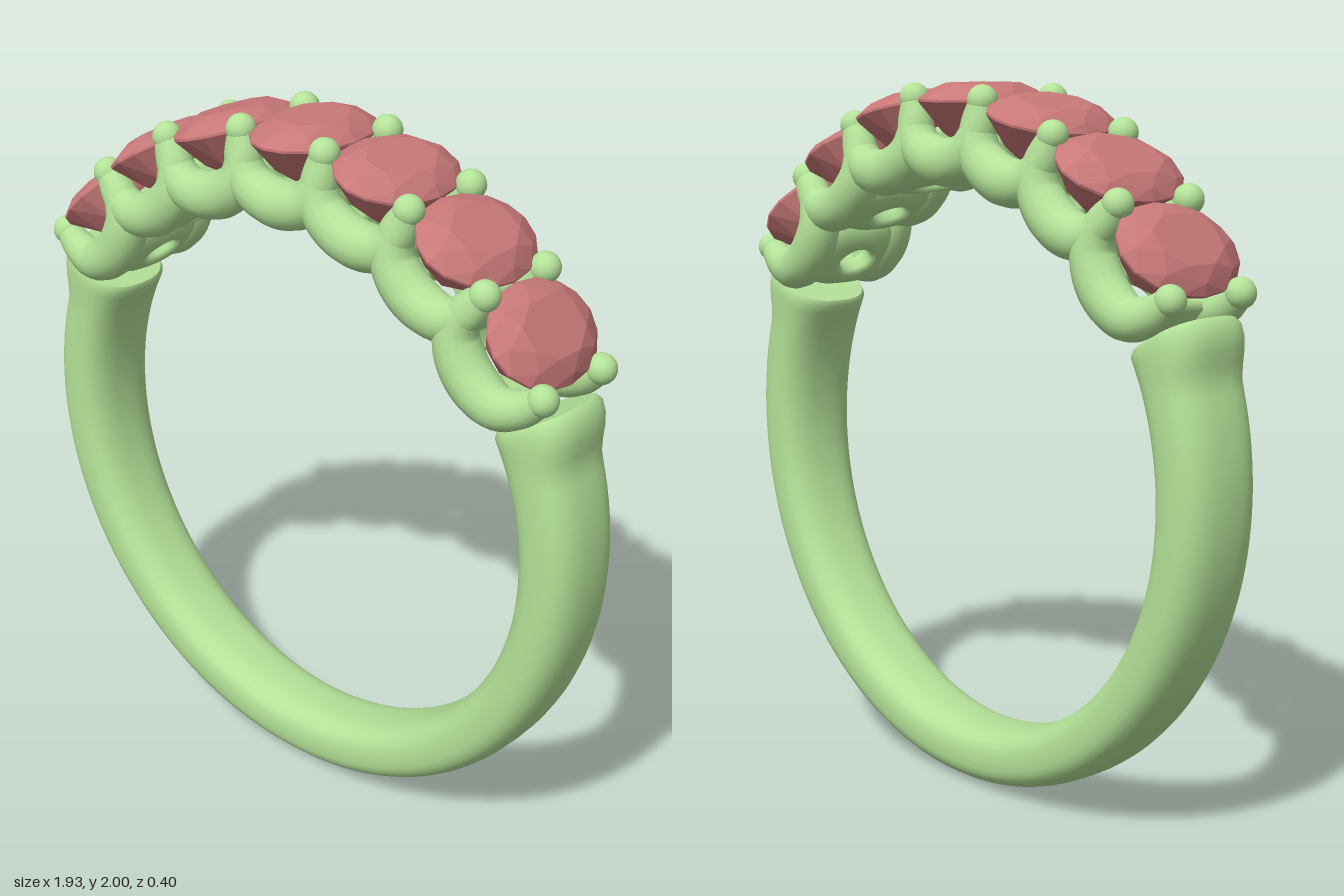
import * as THREE from 'three';
import { mergeVertices } from 'three/addons/utils/BufferGeometryUtils.js';
import { ConvexGeometry } from 'three/addons/geometries/ConvexGeometry.js';

const metal = new THREE.MeshStandardMaterial({ color: 0xb4e298 });
const gem = new THREE.MeshStandardMaterial({ color: 0xc87878, flatShading: true });
const RAD = Math.PI / 180;
const STEP = 16.6;      // degrees between stones
const COUNT = 7;
const CENTRE = 0.95;    // height of the finger hole centre

const spow = (v, e) => Math.sign(v) * Math.abs(v) ** e;

function mesh(name, geometry, material = metal) {
  const m = new THREE.Mesh(geometry, material);
  m.name = name;
  return m;
}

// Skin a list of closed cross-section loops; loopAround joins last ring to first
function skin(rings, loopAround) {
  const n = rings[0].length, pos = rings.flat(2), index = [];
  const count = loopAround ? rings.length : rings.length - 1;
  for (let i = 0; i < count; i++) {
    const i2 = (i + 1) % rings.length;
    for (let j = 0; j < n; j++) {
      const j2 = (j + 1) % n;
      const a = i * n + j, b = i2 * n + j, c = i2 * n + j2, d = i * n + j2;
      index.push(a, b, d, b, c, d);
    }
  }
  const g = new THREE.BufferGeometry();
  g.setAttribute('position', new THREE.Float32BufferAttribute(pos, 3));
  g.setIndex(index);
  g.computeVertexNormals();
  return g;
}

// Band: rounded section growing from the bottom to a flared lip at each end
function shankGeometry() {
  const END = 118.8, SEG = 120, rings = [];
  const ring = (deg, shrink) => {
    const t = Math.abs(deg) / END;
    const lip = THREE.MathUtils.smoothstep(Math.abs(deg), 109, 117);
    const outer = 0.95 + 0.03 * t * t + 0.05 * lip;
    const inner = 0.78 - 0.004 * lip;
    const mid = (outer + inner) / 2, hr = (outer - inner) / 2 * shrink;
    const hz = (0.113 + 0.022 * t + 0.006 * lip) * shrink;
    const loop = [];
    for (let j = 0; j < 32; j++) {
      const p = j / 32 * Math.PI * 2;
      const r = mid + hr * spow(Math.cos(p), 0.75);
      loop.push([r * Math.sin(deg * RAD), -r * Math.cos(deg * RAD), hz * spow(Math.sin(p), 0.75)]);
    }
    return loop;
  };
  const cap = (s) => [ring(s * END, 0.93), ring(s * END, 0.92), ring(s * END, 0.001)];
  rings.push(...cap(-1).reverse());
  for (let i = 0; i <= SEG; i++) rings.push(ring((i / SEG * 2 - 1) * (END - 1), 1));
  rings.push(...cap(1));
  return skin(rings, false);
}

// Seat: oval bowl with a hole through its floor, open at front and back
function seatGeometry() {
  const rings = [];
  for (let i = 0; i < 48; i++) {
    const p = i / 48 * Math.PI * 2, c = Math.cos(p), s = Math.sin(p);
    const R = (Math.abs(c / 0.138) ** 3 + Math.abs(s / 0.165) ** 3) ** (-1 / 3);
    const k = 1 / Math.hypot(c / 0.042, s / 0.055);
    const top = 0.89 + 0.045 * c * c;
    const section = [[R - 0.022, top], [R - 0.004, top - 0.012]];
    for (let u = 0; u <= 6; u++) {
      const a = u / 6 * Math.PI / 2;
      section.push([k + 0.015 + (R - k - 0.015) * Math.cos(a), 0.87 - 0.092 * Math.sin(a)]);
    }
    section.push([k, 0.79], [k, 0.83], [k + 0.012, 0.842], [(k + R) / 2, 0.85], [R - 0.055, 0.865], [R - 0.042, top - 0.012]);
    rings.push(section.map(([r, h]) => [r * c, h, r * s]));
  }
  return skin(rings, true);
}

// Swag: U-shaped tube between two prongs, thickest at its lowest point
function swagGeometry() {
  const half = [[0.147, 1.01, 0.125], [0.138, 0.93, 0.13], [0.1, 0.866, 0.135]];
  const points = [
    ...half.map(([x, y, z]) => new THREE.Vector3(-x, y, z)),
    new THREE.Vector3(0, 0.836, 0.134),
    ...half.reverse().map(([x, y, z]) => new THREE.Vector3(x, y, z)),
  ];
  const curve = new THREE.CatmullRomCurve3(points);
  const SEG = 36, SIDES = 16;
  let g = new THREE.TubeGeometry(curve, SEG, 1, SIDES);
  const pos = g.attributes.position, v = new THREE.Vector3();
  for (let i = 0; i <= SEG; i++) {
    const c = curve.getPointAt(i / SEG);
    const r = 0.036 + 0.031 * Math.sin(Math.PI * i / SEG);
    for (let j = 0; j <= SIDES; j++) {
      const id = i * (SIDES + 1) + j;
      v.fromBufferAttribute(pos, id).sub(c).multiplyScalar(r).add(c);
      pos.setXYZ(id, v.x, v.y, v.z);
    }
  }
  g.deleteAttribute('uv');
  g.deleteAttribute('normal');
  g = mergeVertices(g, 1e-5);
  g.computeVertexNormals();
  return g;
}

// Oval faceted stone: table, crown, girdle, pavilion and culet
function stoneGeometry() {
  const pts = [new THREE.Vector3(0, 0.835, 0)];
  const ring = (n, scale, h, turn) => {
    for (let i = 0; i < n; i++) {
      const a = (i + turn) / n * Math.PI * 2;
      pts.push(new THREE.Vector3(0.146 * scale * Math.cos(a), h, 0.2 * scale * Math.sin(a)));
    }
  };
  ring(8, 0.58, 1.05, 0.5);
  ring(8, 0.84, 1.031, 0);
  ring(16, 1, 1.007, 0);
  ring(16, 1, 1.0, 0);
  ring(8, 0.62, 0.915, 0.5);
  return new ConvexGeometry(pts);
}

export function createModel() {
  const model = new THREE.Group();
  model.name = 'ring';
  const ring = new THREE.Group();
  ring.name = 'ringBody';
  ring.position.y = CENTRE;
  model.add(ring);

  ring.add(mesh('shank', shankGeometry()));

  // Row of settings fanned around the top
  const seat = seatGeometry(), swag = swagGeometry(), stone = stoneGeometry();
  for (let i = 0; i < COUNT; i++) {
    const setting = new THREE.Group();
    setting.name = 'setting';
    setting.rotation.z = -(i - (COUNT - 1) / 2) * STEP * RAD;
    const back = mesh('backSwag', swag);
    back.rotation.y = Math.PI;
    setting.add(mesh('seat', seat), mesh('frontSwag', swag), back, mesh('stone', stone, gem));
    ring.add(setting);
  }

  // Prong tips, shared by neighbouring stones
  const ball = new THREE.SphereGeometry(0.042, 20, 14);
  for (let i = 0; i <= COUNT; i++) {
    const a = (i - COUNT / 2) * STEP * RAD;
    for (const z of [-0.125, 0.125]) {
      const tip = mesh('prongTip', ball);
      tip.position.set(1.018 * Math.sin(a), 1.018 * Math.cos(a), z);
      ring.add(tip);
    }
  }
  return model;
}
